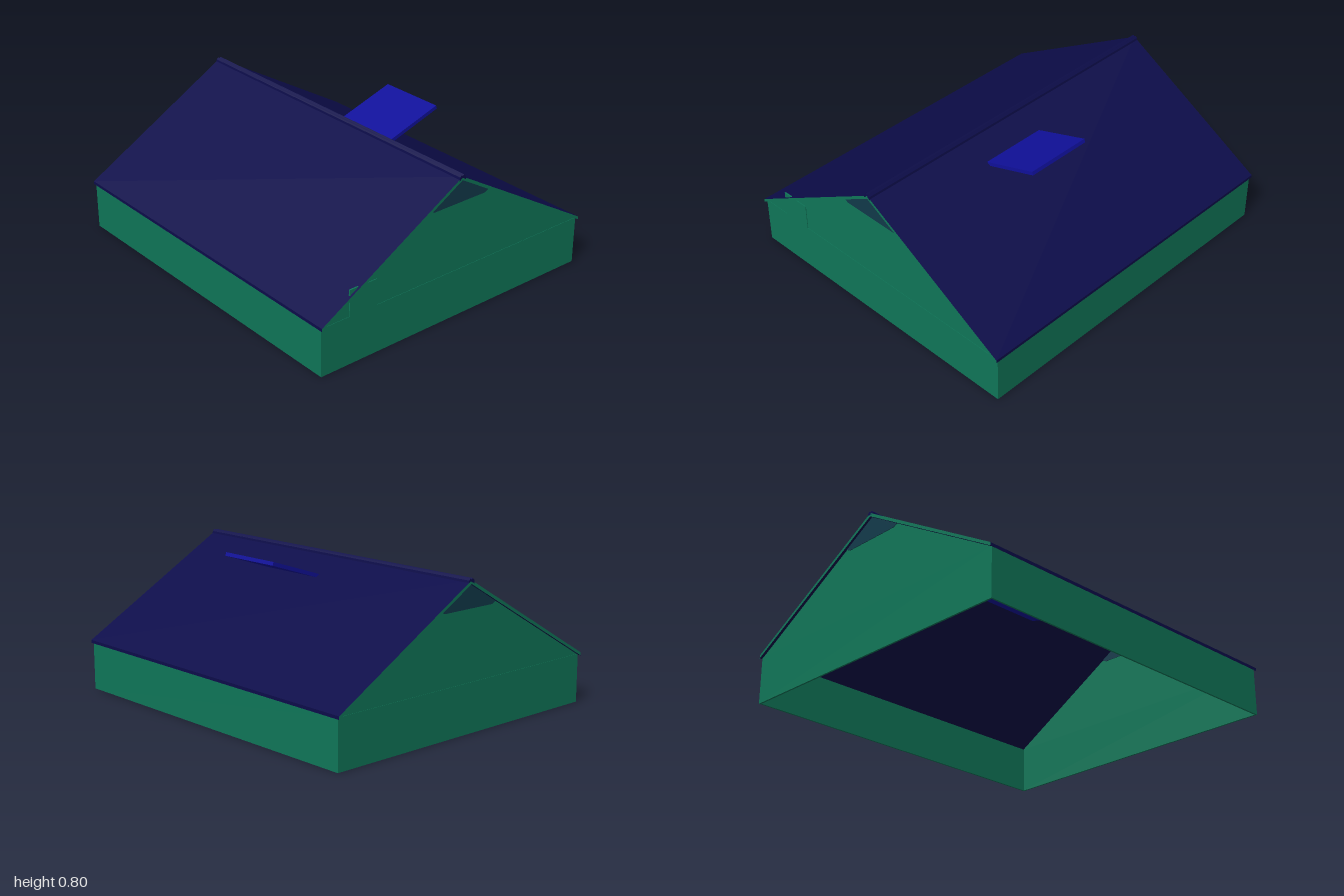
import * as THREE from 'three';

const mat = (name, color, side = THREE.FrontSide) => {
  const m = new THREE.MeshStandardMaterial({ color, side });
  m.name = name;
  return m;
};

export function createModel() {
  const green = mat('wall green', 0x0f7658, THREE.DoubleSide);
  const navy = mat('roof navy', 0x0c0c4a);
  const blue = mat('hatch blue', 0x10109a);
  const teal = mat('gable vent teal', 0x11394a);

  const model = new THREE.Group();
  model.name = 'gabledRoof';

  const add = (name, geometry, material, x = 0, y = 0, z = 0) => {
    const mesh = new THREE.Mesh(geometry, material);
    mesh.name = name;
    mesh.position.set(x, y, z);
    model.add(mesh);
    return mesh;
  };
  // Extrude an x-y outline along z, centred on z = 0
  const prism = (points, depth) => {
    const shape = new THREE.Shape(points.map(([x, y]) => new THREE.Vector2(x, y)));
    return new THREE.ExtrudeGeometry(shape, { depth, bevelEnabled: false }).translate(0, 0, -depth / 2);
  };

  // Low side walls; the underside is left open
  for (const s of [1, -1]) {
    add(s > 0 ? 'leftWall' : 'rightWall', new THREE.BoxGeometry(0.01, 0.265, 1.97), green, s * 0.868, 0.1325, 0);
  }

  // End walls, upper gables and the dark vent panels at their peaks
  const gable = [[-0.87, 0.265], [0.87, 0.265], [0, 0.77]];
  const vent = [[-0.17, 0.64], [0.17, 0.64], [0.2, 0.655], [0, 0.772], [-0.2, 0.655]];
  for (const s of [1, -1]) {
    const end = s > 0 ? 'front' : 'back';
    add(end + 'Wall', new THREE.BoxGeometry(1.746, 0.265, 0.01), green, 0, 0.1325, s * 0.981);
    add(end + 'Gable', prism(gable, 0.008), green, 0, 0, s * 0.98);
    add(end + 'Vent', prism(vent, 0.014), teal, 0, 0, s * 0.98);
  }

  // Small tab of the front wall that rises past the roof edge
  add('wallTab', new THREE.BoxGeometry(0.17, 0.145, 0.008), green, -0.615, 0.3375, 0.984);

  // Roof sheet with green end faces
  const roof = [
    [-0.878, 0.258], [0, 0.766], [0.878, 0.258],
    [0.878, 0.275], [0, 0.785], [-0.878, 0.275],
  ];
  add('roof', prism(roof, 2), [green, navy]);

  // Ridge cap
  const cap = [
    [-0.022, 0.765], [0, 0.778], [0.022, 0.765],
    [0.018, 0.785], [0.008, 0.795], [0, 0.788], [-0.008, 0.795], [-0.018, 0.785],
  ];
  add('ridgeCap', prism(cap, 2), navy);

  // Raised roof hatch, its inner end passing through the roof
  const a = [0.05, 0.657], b = [0.465, 0.795];
  const hatch = add('roofHatch',
    new THREE.BoxGeometry(Math.hypot(b[0] - a[0], b[1] - a[1]), 0.02, 0.385),
    blue, (a[0] + b[0]) / 2, (a[1] + b[1]) / 2, 0.13);
  hatch.rotation.z = Math.atan2(b[1] - a[1], b[0] - a[0]);

  return model;
}
